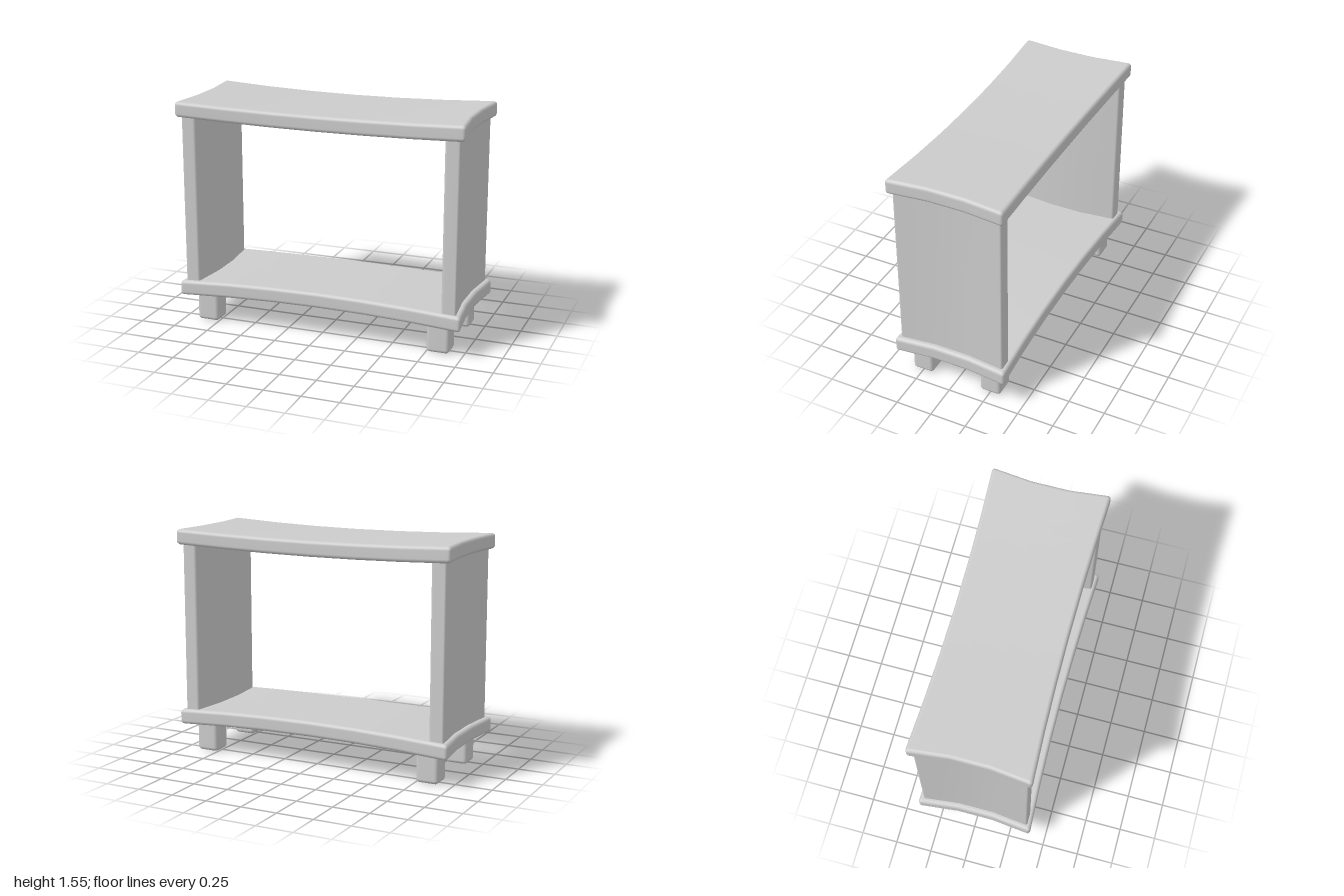
import * as THREE from 'three';
import { mergeVertices } from 'three/addons/utils/BufferGeometryUtils.js';

const K = 3; // segments across each rounded edge

// Rounded box with [nx, ny, nz] divisions between its edges, reshaped by bend(p)
function softBox(size, r, divs, bend) {
  const segs = divs.map((n) => n + 2 * K);
  const geo = new THREE.BoxGeometry(1, 1, 1, ...segs);
  geo.deleteAttribute('uv');
  geo.deleteAttribute('normal');
  const pos = geo.attributes.position;
  const p = new THREE.Vector3();
  const offset = new THREE.Vector3();
  for (let i = 0; i < pos.count; i++) {
    p.fromBufferAttribute(pos, i);
    for (let a = 0; a < 3; a++) {
      const inner = size[a] / 2 - r;
      const step = Math.round((p.getComponent(a) + 0.5) * segs[a]);
      const flat = THREE.MathUtils.clamp((step - K) / divs[a], 0, 1);
      const out = step < K ? step / K - 1 : Math.max(0, (step - K - divs[a]) / K);
      p.setComponent(a, (flat * 2 - 1) * inner);
      offset.setComponent(a, Math.tan(out * Math.PI / 4));
    }
    p.addScaledVector(offset.normalize(), r);
    if (bend) bend(p);
    pos.setXYZ(i, p.x, p.y, p.z);
  }
  const merged = mergeVertices(geo, 1e-5);
  merged.computeVertexNormals();
  return merged;
}

export function createModel() {
  const group = new THREE.Group();
  const material = new THREE.MeshStandardMaterial({ color: 0xcccccc });

  const add = (name, geometry, x, y, z) => {
    const mesh = new THREE.Mesh(geometry, material);
    mesh.name = name;
    mesh.position.set(x, y, z);
    group.add(mesh);
  };

  // Boards: pinched edges in plan, bowed up or down at the middle
  const board = (bow) => softBox([2, 0.105, 0.8], 0.025, [6, 1, 3], (p) => {
    const fx = 1 - p.x * p.x;
    const fz = 1 - (p.z / 0.4) ** 2;
    p.y += bow * fx;
    p.x *= 1 - 0.035 * fz;
    p.z *= 1 - 0.07 * fx;
  });
  add('topBoard', board(-0.026), 0, 1.4975, 0);
  add('bottomBoard', board(0.026), 0, 0.2425, 0);

  for (const side of [1, -1]) {
    const label = side > 0 ? 'left' : 'right';

    // Side panel, curved inwards at mid depth
    const panel = softBox([0.1, 1.2, 0.74], 0.015, [1, 1, 3], (p) => {
      p.x -= side * 0.032 * (1 - (p.z / 0.37) ** 2);
    });
    add(label + 'Panel', panel, side * 0.912, 0.87, 0);

    // Stubby feet
    for (const end of [1, -1]) {
      const foot = softBox([0.155, 0.25, 0.148], 0.025, [1, 1, 1]);
      add(label + (end > 0 ? 'Front' : 'Back') + 'Foot', foot, side * 0.828, 0.125, end * 0.25);
    }
  }
  return group;
}
